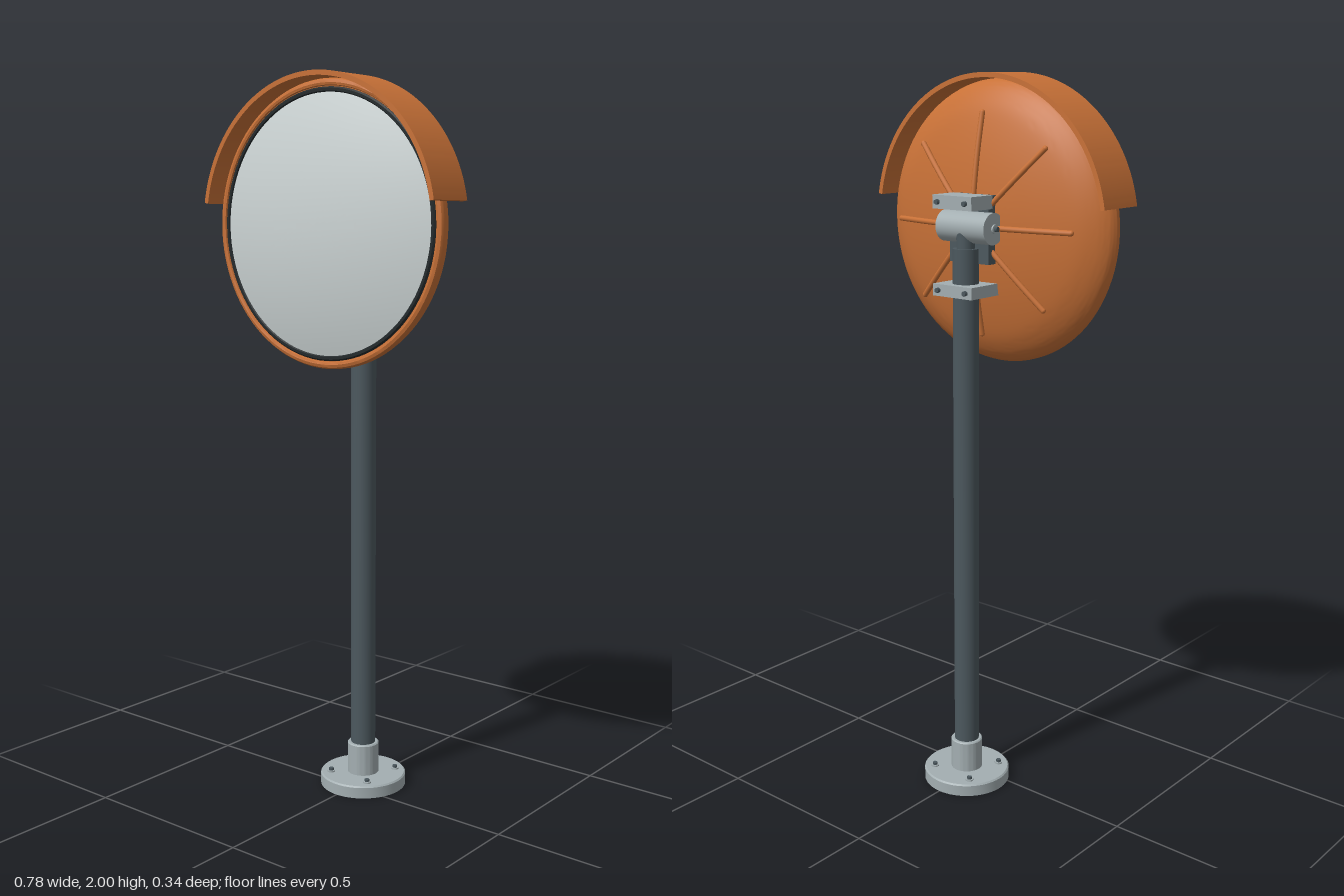
import * as THREE from 'three';
import { toCreasedNormals } from 'three/addons/utils/BufferGeometryUtils.js';

const paint = (color) => new THREE.MeshStandardMaterial({ color });
const ORANGE = paint(0xc87137), DARK = paint(0x4c585e), STEEL = paint(0xa3aeb1);
const GLASS = paint(0xcdd5d5), RUBBER = paint(0x23292b);

const POLE_Z = -0.05, HEAD_Y = 1.605;

export function createModel() {
  const model = new THREE.Group();
  const add = (name, geometry, material, x, y, z, parent = model) => {
    const mesh = new THREE.Mesh(geometry, material);
    mesh.name = name;
    mesh.position.set(x, y, z);
    parent.add(mesh);
    return mesh;
  };
  const cyl = (r, h, n = 32) => new THREE.CylinderGeometry(r, r, h, n);
  const box = (w, h, d) => new THREE.BoxGeometry(w, h, d);
  // Turned part whose axis points to the front; profile is [radius, z]
  const turned = (profile, crease = 0.6) => toCreasedNormals(
    new THREE.LatheGeometry(profile.map(([r, z]) => new THREE.Vector2(r, z)), 96).rotateX(Math.PI / 2), crease);

  // Base flange, collar and pole
  const lathe = (pts) => toCreasedNormals(new THREE.LatheGeometry(pts.map(([r, y]) => new THREE.Vector2(r, y)), 64), 0.5);
  add('baseFlange', lathe([[0, 0], [0.123, 0], [0.123, 0.031], [0.119, 0.035], [0, 0.035]]), STEEL, 0, 0, POLE_Z);
  add('baseCollar', lathe([[0.045, 0.03], [0.045, 0.122], [0.042, 0.125], [0, 0.125]]), STEEL, 0, 0, POLE_Z);
  add('pole', cyl(0.035, 1.5, 48), DARK, 0, 0.8, POLE_Z);
  for (const sx of [-1, 1]) for (const sz of [-1, 1]) {
    add('anchorWasher', cyl(0.011, 0.004, 20), STEEL, sx * 0.066, 0.037, POLE_Z + sz * 0.066);
    add('anchorBolt', cyl(0.007, 0.012, 6), DARK, sx * 0.066, 0.04, POLE_Z + sz * 0.066);
  }

  // Mirror head, centred on its own axis
  const head = new THREE.Group();
  head.name = 'mirrorHead';
  head.position.y = HEAD_Y;
  model.add(head);
  const curve = new THREE.SplineCurve([[0, -0.015], [0.1, -0.008], [0.2, 0.007], [0.29, 0.03], [0.34, 0.054],
    [0.37, 0.079], [0.38, 0.1]].map(([r, z]) => new THREE.Vector2(r, z)));
  const back = curve.getPoints(36).map((p) => [Math.max(0, p.x), p.y]);
  add('shell', turned([...back, [0.38, 0.11], [0.376, 0.117], [0.368, 0.12], [0.362, 0.118],
    [0.36, 0.114], [0.354, 0.114], [0.352, 0.1]]), ORANGE, 0, 0, 0, head);
  add('gasket', turned([[0.358, 0.1], [0.358, 0.116], [0.354, 0.12], [0.347, 0.12], [0.344, 0.116], [0.344, 0.1]]),
    RUBBER, 0, 0, 0, head);
  const dome = [];
  for (let i = 0; i <= 20; i++) {
    const r = 0.346 * (1 - i / 20);
    dome.push([r, 0.166 - 0.05 * (r / 0.346) ** 2]);
  }
  add('mirror', turned(dome), GLASS, 0, 0, 0, head);

  // Hood over the upper half
  const a = 0.16, hoodShape = new THREE.Shape();
  hoodShape.absarc(0, 0, 0.395, a, Math.PI - a, false);
  hoodShape.absarc(0, 0, 0.382, Math.PI - a, a, true);
  hoodShape.closePath();
  add('hood', toCreasedNormals(new THREE.ExtrudeGeometry(hoodShape,
    { depth: 0.145, bevelEnabled: false, curveSegments: 64 }), 0.5), ORANGE, 0, 0, 0.026, head);

  // Eight spokes hugging the back shell
  const spoke = new THREE.CatmullRomCurve3([[0.03, -0.021], [0.1, -0.016], [0.2, -0.001], [0.295, 0.018]]
    .map(([r, z]) => new THREE.Vector3(r, 0, z)));
  for (let i = 0; i < 8; i++) {
    const arm = new THREE.Group();
    arm.name = 'spoke';
    arm.rotation.z = i * Math.PI / 4;
    head.add(arm);
    add('spokeRod', new THREE.TubeGeometry(spoke, 16, 0.0075, 10), ORANGE, 0, 0, 0, arm);
    add('spokeTip', new THREE.SphereGeometry(0.0075, 10, 8), ORANGE, 0.294, 0, 0.018, arm);
  }

  // Mounting block, pivot barrel and neck
  add('mountingBlock', box(0.134, 0.18, 0.036), DARK, 0, 1.6, -0.018);
  add('pivotNeck', cyl(0.025, 0.08), DARK, 0, 1.57, POLE_Z);
  add('pivotBarrel', cyl(0.042, 0.166, 40).rotateZ(Math.PI / 2), STEEL, 0, HEAD_Y, -0.035);
  for (const s of [-1, 1]) {
    add('pivotWasher', cyl(0.012, 0.006, 24).rotateZ(Math.PI / 2), STEEL, s * 0.085, HEAD_Y, -0.033);
    add('pivotBolt', cyl(0.007, 0.012, 6).rotateZ(Math.PI / 2), DARK, s * 0.09, HEAD_Y, -0.033);
  }

  // Upper and lower clamps with bolts through the back
  add('upperClamp', box(0.134, 0.036, 0.085), STEEL, 0, 1.673, -0.0635);
  add('lowerClamp', box(0.134, 0.032, 0.112), STEEL, 0, 1.441, -0.05);
  for (const y of [1.673, 1.441]) for (const s of [-1, 1]) {
    add('clampBolt', cyl(0.007, 0.02, 6).rotateX(Math.PI / 2), DARK, s * 0.047, y, -0.106);
  }
  return model;
}
